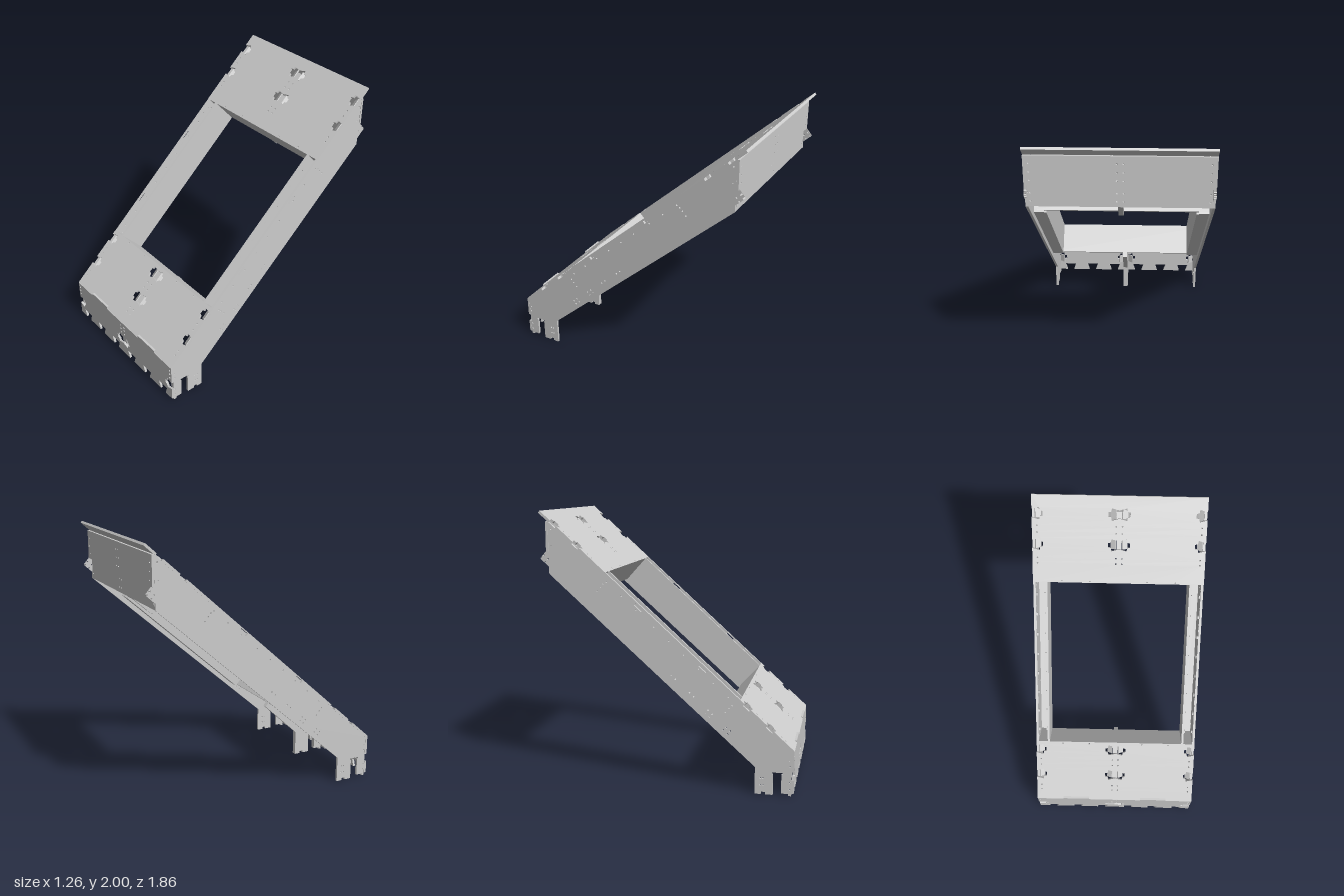
import * as THREE from 'three';

const T = 0.018;                          // sheet thickness
const A = Math.atan2(1.665, 1.85);        // slope of the frame
const C = Math.cos(A), S = Math.sin(A);
const END = 2.489, LOW = 0.525, HIGH = 1.844; // slope stations: top edge, opening start and end
const BOW = [[0, 0.03], [0.055, 0.045], [0.06, 0.02], [0.08, 0.016]]; // half of a bow-tie cut-out

// s runs up the slope, d runs inward; result is (-z, y)
const P = (s, d) => [-0.93 + s * C + d * S, 0.335 + s * S - d * C];

const material = new THREE.MeshStandardMaterial({ color: 0xcccccc, flatShading: true, side: THREE.DoubleSide });

function add(parent, name, geometry, x = 0, y = 0, z = 0) {
  const mesh = new THREE.Mesh(geometry, material);
  mesh.name = name;
  mesh.position.set(x, y, z);
  parent.add(mesh);
  return mesh;
}

const polygon = (points) => points.map(([x, y]) => new THREE.Vector2(x, y));

function plate(points, holes, depth) {
  const shape = new THREE.Shape(polygon(points));
  for (const h of holes) shape.holes.push(new THREE.Path(polygon(h)));
  return new THREE.ExtrudeGeometry(shape, { depth, bevelEnabled: false });
}

// Small screw hole
function dot(x, y, r = 0.0065) {
  return Array.from({ length: 6 }, (_, i) => [x + r * Math.cos(i * Math.PI / 3), y + r * Math.sin(i * Math.PI / 3)]);
}

// Full bow-tie opening centred on x = 0
function bowHole(v) {
  const right = [...BOW.map(([q, h]) => [q, v + h]), ...[...BOW].reverse().map(([q, h]) => [q, v - h])];
  const left = [...BOW.slice(1).map(([q, h]) => [-q, v - h]), ...BOW.slice(1).reverse().map(([q, h]) => [-q, v + h])];
  return [...right, ...left];
}

// Panel edge with half bow-ties cut in, listed upwards along x = side * 0.632
function notchedEdge(side, centres) {
  const at = (q, v) => [side * (0.632 - q), v];
  return centres.flatMap((v) => [
    ...BOW.map(([q, h]) => at(q, v - h)),
    ...[...BOW].reverse().map(([q, h]) => at(q, v + h)),
  ]);
}

// Flaps folded inward behind every bow-tie
function addFlaps(parent, v, zFace) {
  for (const [x, dir] of [[0, 1], [0, -1], [0.632, -1], [-0.632, 1]]) {
    const flap = add(parent, 'foldedFlap', new THREE.BoxGeometry(0.045, 0.07, 0.008), x + dir * 0.042, v, zFace - 0.016);
    flap.rotation.y = dir * 0.6;
  }
}

function addDeck(parent, name, s0, s1, centres, edgeHole) {
  const outline = [[-0.632, s0], [0.632, s0], ...notchedEdge(1, centres), [0.632, s1], [-0.632, s1],
    ...notchedEdge(-1, centres).reverse()];
  const holes = centres.map(bowHole);
  const mid = (centres[0] + centres[1]) / 2;
  for (const x of [-0.595, -0.022, 0.022, 0.595])
    for (const s of [mid - 0.025, mid + 0.025, centres[0] - 0.1, centres[0] - 0.14]) holes.push(dot(x, s));
  for (const x of [-0.42, -0.21, 0.21, 0.42]) holes.push(dot(x, edgeHole));
  add(parent, name, plate(outline, holes, T), 0, 0, -T);
  centres.forEach((v) => addFlaps(parent, v, -T));
}

// Upright plate parallel to the sides, drawn in (-z, y)
function addSidePlate(parent, name, points, holes, x, depth) {
  add(parent, name, plate(points, holes, depth), x - depth / 2).rotation.y = Math.PI / 2;
}

export function createModel() {
  const model = new THREE.Group();
  model.name = 'slopedFrame';
  const slope = new THREE.Group();
  slope.name = 'slopedParts';
  slope.position.set(0, 0.335, 0.93);
  slope.rotation.x = A - Math.PI / 2;
  model.add(slope);

  // Upper and lower decks
  addDeck(slope, 'lowerDeck', 0, LOW, [0.23, 0.455], LOW - 0.014);
  addDeck(slope, 'upperDeck', HIGH, END, [2.13, 2.355], HIGH + 0.014);

  // Bulkheads closing both ends of the opening
  for (const s of [LOW - T / 2, HIGH + T / 2])
    add(slope, 'bulkhead', new THREE.BoxGeometry(1.226, T, 0.24 - T), 0, s, -(0.24 + T) / 2);

  // Foot outline shared by the sides and the lower rib
  const foot = [[-0.912, 0], [-0.89, 0], [-0.89, 0.015], [-0.84, 0.015], [-0.84, 0.155], [-0.847, 0.155], [-0.847, 0.168],
    [-0.773, 0.168], [-0.773, 0.155], [-0.78, 0.155], [-0.78, 0], [-0.725, 0], [-0.725, 0.018], [-0.695, 0.018],
    [-0.695, 0], [-0.65, 0], [-0.65, 0.2]];

  // Slots under the top edge, beside the opening
  const slots = [0.87, 1.5].map((s) => [P(s - 0.035, 0.008), P(s + 0.035, 0.008), P(s + 0.035, 0.03), P(s - 0.035, 0.03)]);

  // Screw holes of the side walls
  const sideHoles = [...slots];
  for (let i = 0; i < 11; i++) {
    for (const ds of [-0.02, 0.02])
      for (const d of [0.22, 0.25]) sideHoles.push(dot(...P(0.44 + i * 0.18 + ds, d)));
  }
  for (let i = 0; i < 9; i++) sideHoles.push(dot(...P(0.6 + i * 0.145 + (i > 5 ? 0.03 : 0), 0.045)));
  for (const s of [0.54, 1.8])
    for (const d of [0.07, 0.1, 0.14]) sideHoles.push(dot(...P(s, d)));
  for (const y of [0.05, 0.1, 0.22, 0.26]) sideHoles.push(dot(-0.9, y));
  for (const y of [0.07, 0.12]) sideHoles.push(dot(-0.69, y), dot(-0.71, y));
  for (const y of [1.61, 1.68, 1.75, 1.87]) sideHoles.push(dot(0.84, y));

  const side = [...foot, [0.86, 1.55], [0.86, 1.71], P(2.395, T), P(HIGH, T), P(HIGH, 0), P(LOW, 0), P(LOW, T), P(0.008, T)];
  const inner = [P(LOW, 0), P(HIGH, 0), P(HIGH, 0.255), P(LOW, 0.255)];
  const innerHoles = [...slots];
  for (let i = 0; i < 7; i++)
    for (const ds of [-0.02, 0.02]) innerHoles.push(dot(...P(0.62 + i * 0.18 + ds, 0.22)));

  for (const m of [-1, 1]) {
    addSidePlate(model, 'sideWall', side, sideHoles, m * 0.621, T);
    addSidePlate(model, 'innerWall', inner, innerHoles, m * 0.533, 0.016);
    // Floor of the channel between the two walls
    add(slope, 'channelFloor', new THREE.BoxGeometry(0.072, HIGH + T - LOW, 0.015), m * 0.577, (LOW + HIGH + T) / 2, -0.2475);
    // Small tabs along the channel
    for (let i = 0; i < 8; i++)
      for (const x of [0.545, 0.608])
        add(slope, 'channelTab', new THREE.BoxGeometry(0.012, 0.02, 0.02), m * x, 0.62 + i * 0.16, -0.04);
  }

  // Centre ribs under the decks
  addSidePlate(model, 'lowerRib', [...foot, P(LOW, 0.28), P(LOW, 0.24), P(LOW - T, 0.24), P(LOW - T, T), P(0.008, T)], [], 0, 0.036);
  addSidePlate(model, 'upperRib', [P(HIGH + T, T), P(HIGH + T, 0.24), P(HIGH, 0.24), P(HIGH, 0.27),
    P(HIGH + 0.05, 0.275), [0.845, 1.56], P(2.372, T)], [], 0, 0.036);

  // Front panel with a row of dovetail notches
  const front = [[-0.632, 0.02]];
  for (const x of [-0.52, -0.315, -0.11, 0.11, 0.315, 0.52])
    front.push([x - 0.03, 0.02], [x - 0.036, 0.04], [x - 0.05, 0.08], [x + 0.05, 0.08], [x + 0.036, 0.04], [x + 0.03, 0.02]);
  front.push([0.632, 0.02], ...notchedEdge(1, [0.15]), [0.632, 0.33], [-0.632, 0.33], ...notchedEdge(-1, [0.15]).reverse());
  const frontHoles = [bowHole(0.15)];
  for (const x of [-0.612, -0.022, 0.022, 0.612])
    for (const y of [0.225, 0.26, 0.295]) frontHoles.push(dot(x, y, 0.008));
  add(model, 'frontPanel', plate(front, frontHoles, T), 0, 0, 0.912);
  addFlaps(model, 0.15, 0.912);
  for (const m of [-1, 1])
    add(model, 'frontPanelTab', new THREE.BoxGeometry(0.21, 0.025, T), m * 0.315, 0.338, 0.921);

  // Back panels
  const backHoles = [];
  for (const x of [-0.595, -0.022, 0.022, 0.595])
    for (const y of [0.04, 0.1, 0.16]) backHoles.push(dot(x, y));
  const backSheet = (w, h) => plate([[-w, 0], [w, 0], [w, h], [-w, h]], backHoles.filter((h2) => h2[1][1] < h - 0.01), T);
  add(model, 'upperBackPanel', backSheet(0.632, 0.215), 0, 1.71, -0.88);
  add(model, 'lowerBackPanel', backSheet(0.612, 0.158), 0, 1.552, -0.861);

  return model;
}
